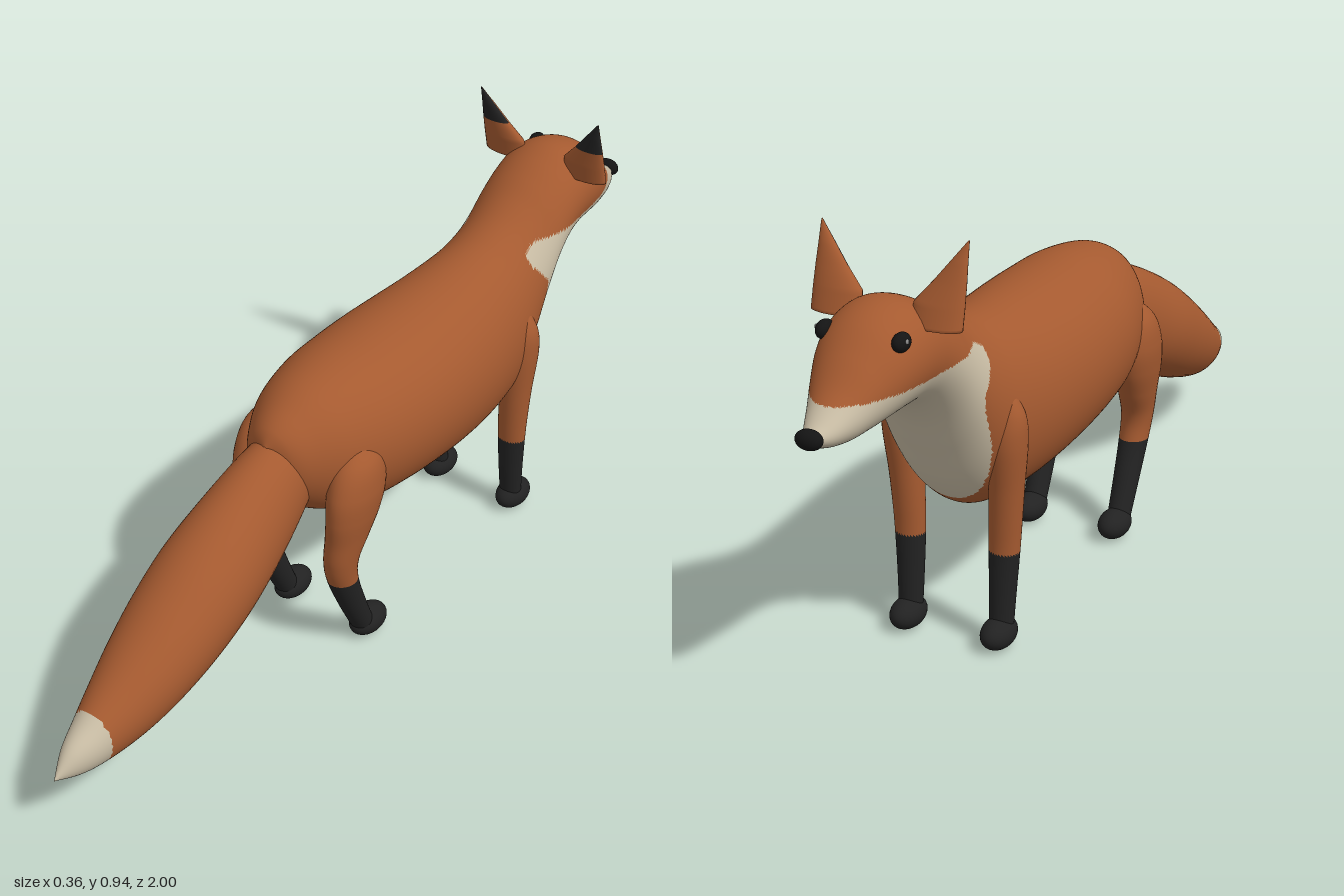
import * as THREE from 'three';

const mat = (name, color, side = THREE.FrontSide) => {
  const m = new THREE.MeshStandardMaterial({ color, side });
  m.name = name;
  return m;
};

// Catmull-Rom blend between section rows
function rowAt(rows, t, smooth) {
  const f = t * (rows.length - 1);
  const i = Math.min(Math.floor(f), rows.length - 2), u = f - i;
  const get = k => rows[Math.max(0, Math.min(rows.length - 1, k))];
  const [a, b, c, d] = [get(i - 1), get(i), get(i + 1), get(i + 2)];
  return b.map((_, k) => {
    if (!smooth) return b[k] + (c[k] - b[k]) * u;
    const m0 = (c[k] - a[k]) / 2, m1 = (d[k] - b[k]) / 2, e = c[k] - b[k];
    return b[k] + u * (m0 + u * (3 * e - 2 * m0 - m1 + u * (m0 + m1 - 2 * e)));
  });
}

// Loft of elliptical sections [x, y, z, radiusX, radiusV, tilt]; pick(point) gives the material index
function loft(name, rows, along, around, materials, pick = () => 0, smooth = true) {
  const pos = [], buckets = materials.map(() => []);
  for (let i = 0; i <= along; i++) {
    const [x, y, z, rx, rv, tilt] = rowAt(rows, i / along, smooth);
    for (let j = 0; j < around; j++) {
      const a = (j / around) * Math.PI * 2;
      const v = Math.sin(a) * Math.max(rv, 0.0005);
      pos.push(x + Math.cos(a) * Math.max(rx, 0.0005), y + v * Math.cos(tilt), z + v * Math.sin(tilt));
    }
  }
  const p = new THREE.Vector3(), q = new THREE.Vector3();
  const tri = (...ids) => {
    p.set(0, 0, 0);
    ids.forEach(id => p.add(q.fromArray(pos, id * 3)));
    buckets[pick(p.divideScalar(3))].push(...ids);
  };
  for (let i = 0; i < along; i++) {
    for (let j = 0; j < around; j++) {
      const k = (j + 1) % around;
      const a = i * around + j, b = i * around + k, c = a + around, d = b + around;
      tri(a, b, c);
      tri(b, d, c);
    }
  }
  const geo = new THREE.BufferGeometry();
  geo.setAttribute('position', new THREE.Float32BufferAttribute(pos, 3));
  geo.setIndex(buckets.flat());
  let start = 0;
  buckets.forEach((b, i) => { geo.addGroup(start, b.length, i); start += b.length; });
  geo.computeVertexNormals();
  const mesh = new THREE.Mesh(geo, materials);
  mesh.name = name;
  return mesh;
}

function ellipsoid(name, material, center, radii) {
  const mesh = new THREE.Mesh(new THREE.SphereGeometry(1, 32, 20), material);
  mesh.name = name;
  mesh.position.set(...center);
  mesh.scale.set(...radii);
  return mesh;
}

export function createModel() {
  const group = new THREE.Group();
  const fur = mat('russet fur', 0xa55a30);
  const cream = mat('cream fur', 0xc8bca4);
  const black = mat('black fur', 0x222222);
  const eyeMat = mat('eye black', 0x141414);
  const glint = mat('eye glint', 0x8a8a8a);

  // Head, neck and body: z, top, bottom, half width
  const body = [
    [-0.985, 0.645, 0.635, 0.008], [-0.95, 0.665, 0.615, 0.032], [-0.9, 0.705, 0.605, 0.055],
    [-0.85, 0.757, 0.606, 0.077], [-0.8, 0.8, 0.61, 0.097], [-0.75, 0.822, 0.613, 0.109],
    [-0.7, 0.826, 0.61, 0.114], [-0.65, 0.81, 0.588, 0.115], [-0.6, 0.783, 0.535, 0.117],
    [-0.55, 0.75, 0.45, 0.121], [-0.5, 0.722, 0.365, 0.129], [-0.45, 0.702, 0.308, 0.14],
    [-0.4, 0.69, 0.283, 0.15], [-0.3, 0.68, 0.276, 0.165], [-0.2, 0.678, 0.28, 0.175],
    [-0.1, 0.678, 0.29, 0.18], [0, 0.678, 0.301, 0.177], [0.1, 0.677, 0.316, 0.165],
    [0.2, 0.662, 0.35, 0.135], [0.27, 0.632, 0.4, 0.095], [0.31, 0.605, 0.45, 0.06],
    [0.33, 0.575, 0.525, 0.01]
  ].map(([z, t, b, w]) => [0, (t + b) / 2, z, w, (t - b) / 2, 0]);
  // Rear outline of the cream bib: y, z
  const bib = [[0.2, -0.455], [0.33, -0.46], [0.45, -0.495], [0.55, -0.535], [0.585, -0.54],
    [0.61, -0.52], [0.64, -0.492], [0.665, -0.488], [0.685, -0.52]];
  const bibEdge = y => {
    const i = Math.max(1, bib.findIndex(b => b[0] >= y));
    const [y0, z0] = bib[i - 1], [y1, z1] = bib[i];
    return z0 + (z1 - z0) * (y - y0) / (y1 - y0);
  };
  group.add(loft('body', body, 252, 112, [fur, cream],
    p => (p.y < 0.685 && p.z < bibEdge(p.y) ? 1 : 0)));

  // Bushy tail with a pale tip
  const tail = [
    [0, 0.53, 0.2, 0.05, 0.07, 0.55], [0, 0.485, 0.29, 0.075, 0.1, 0.55],
    [0, 0.418, 0.41, 0.096, 0.116, 0.55], [0, 0.36, 0.52, 0.109, 0.116, 0.55],
    [0, 0.305, 0.62, 0.107, 0.108, 0.53], [0, 0.255, 0.715, 0.095, 0.095, 0.5],
    [0, 0.215, 0.8, 0.076, 0.08, 0.45], [0, 0.187, 0.88, 0.053, 0.06, 0.38],
    [0, 0.172, 0.945, 0.03, 0.038, 0.3], [0, 0.16, 1, 0, 0, 0.25]
  ];
  group.add(loft('tail', tail, 108, 48, [fur, cream], p => (p.z > 0.885 ? 1 : 0)));

  // Leg sections from top to ankle: y, x, z, radiusX, radiusZ
  const backLeg = [[0.56, 0.115, 0.165, 0.005, 0.01], [0.51, 0.12, 0.175, 0.042, 0.06],
    [0.45, 0.124, 0.184, 0.05, 0.08], [0.39, 0.124, 0.195, 0.046, 0.075],
    [0.33, 0.118, 0.208, 0.041, 0.058], [0.27, 0.112, 0.222, 0.036, 0.042],
    [0.21, 0.108, 0.213, 0.033, 0.036], [0.12, 0.106, 0.177, 0.029, 0.032],
    [0.04, 0.105, 0.14, 0.026, 0.028]];
  const frontLeg = [[0.56, 0.125, -0.44, 0.005, 0.01], [0.51, 0.122, -0.44, 0.034, 0.035],
    [0.45, 0.12, -0.44, 0.04, 0.043], [0.35, 0.114, -0.436, 0.037, 0.036],
    [0.27, 0.11, -0.435, 0.035, 0.031], [0.21, 0.108, -0.436, 0.033, 0.028],
    [0.12, 0.106, -0.441, 0.029, 0.025], [0.04, 0.105, -0.447, 0.026, 0.022]];
  // Ear sections from tip to base: y, inner x, outer x, half thickness
  const ear = [[0.94, 0.154, 0.156, 0.001], [0.9, 0.122, 0.157, 0.009], [0.86, 0.09, 0.159, 0.014],
    [0.82, 0.055, 0.16, 0.02], [0.776, 0.05, 0.16, 0.023], [0.775, 0.105, 0.105, 0]];
  const earZ = y => -0.7 + (y - 0.775) * 0.25;

  for (const s of [-1, 1]) {
    const side = s > 0 ? 'Left' : 'Right';
    for (const [part, rows, footZ] of [['back', backLeg, 0.118], ['front', frontLeg, -0.458]]) {
      const sections = rows.map(([y, x, z, rx, rz]) => [s * x, y, z, rx, rz, Math.PI / 2]);
      group.add(loft(part + side + 'Leg', sections, 96, 32, [fur, black], p => (p.y < 0.21 ? 1 : 0)));
      group.add(ellipsoid(part + side + 'Foot', black, [s * 0.105, 0.034, footZ], [0.035, 0.033, 0.052]));
    }
    // Ears, black only on the back of the tip
    const earRows = ear.map(([y, a, b, t]) => [s * (a + b) / 2, y, earZ(y), (b - a) / 2, t, Math.PI / 2]);
    group.add(loft('ear' + side, earRows, 40, 24, [fur, black],
      p => (p.y > 0.86 && p.z > earZ(p.y) ? 1 : 0), false));
    // Eyes
    group.add(ellipsoid('eye' + side, eyeMat, [s * 0.08, 0.773, -0.785], [0.016, 0.019, 0.024]));
    group.add(ellipsoid('eyeGlint' + side, glint, [s * 0.095, 0.778, -0.79], [0.003, 0.005, 0.005]));
  }

  group.add(ellipsoid('nose', eyeMat, [0, 0.643, -0.982], [0.028, 0.02, 0.018]));
  return group;
}
